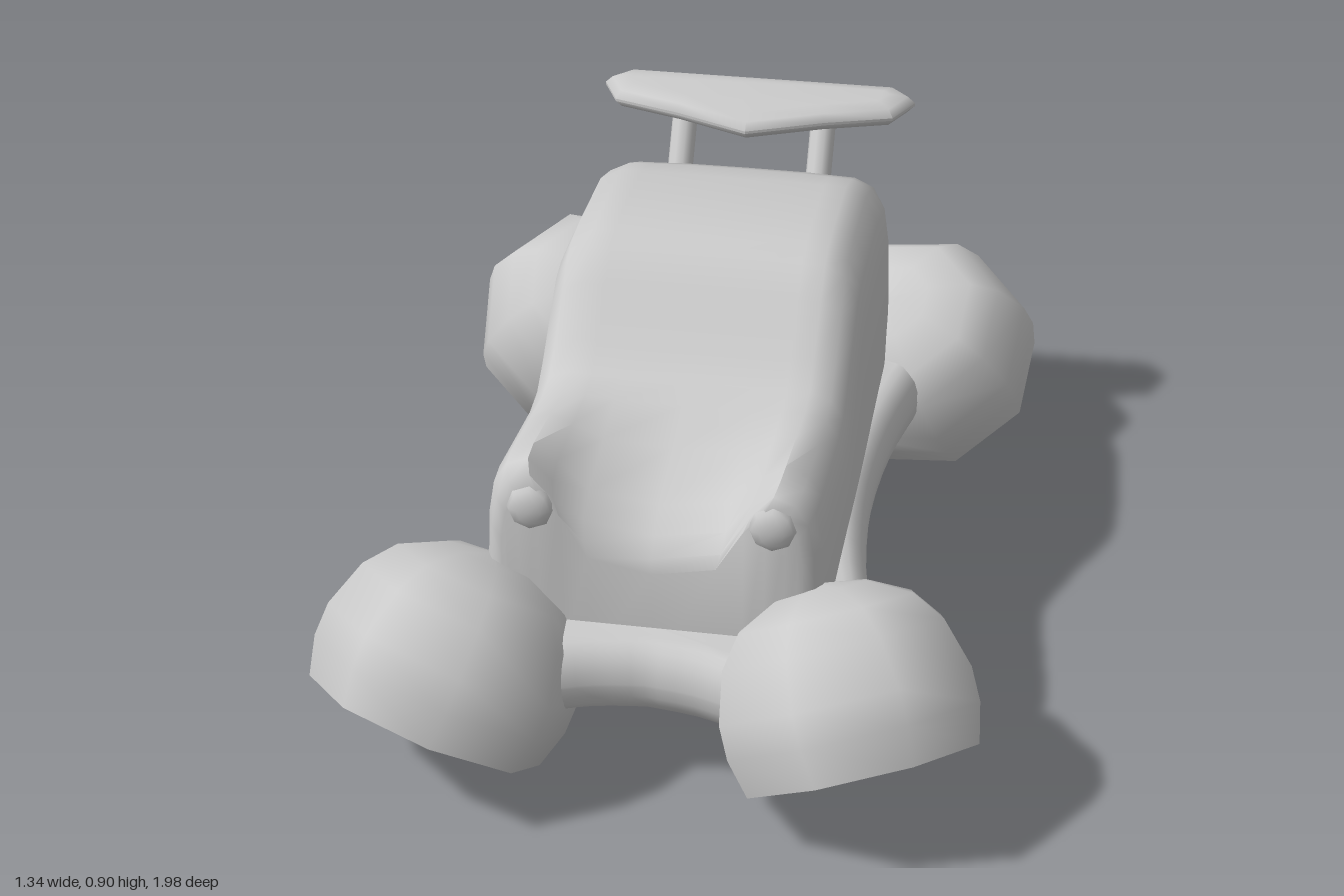
import * as THREE from 'three';
import { toCreasedNormals } from 'three/addons/utils/BufferGeometryUtils.js';

const V = (x, y, z) => new THREE.Vector3(x, y, z);
const material = new THREE.MeshStandardMaterial({ color: 0xcccccc });
const openMaterial = new THREE.MeshStandardMaterial({ color: 0xcccccc, side: THREE.DoubleSide });

function addMesh(parent, name, geometry, mat = material) {
  const mesh = new THREE.Mesh(geometry, mat);
  mesh.name = name;
  parent.add(mesh);
  return mesh;
}

// Horizontal slab with a rounded edge; outline is given in x and z
function slab(points, top, bottom, bevelSize, bevelSegments, crease) {
  const depth = 0.006;
  const bevelThickness = (top - bottom - depth) / 2;
  const geometry = new THREE.ExtrudeGeometry(new THREE.Shape(points), {
    depth, bevelEnabled: true, bevelThickness, bevelSize, bevelOffset: -bevelSize, bevelSegments,
  });
  geometry.rotateX(Math.PI / 2);
  geometry.translate(0, top - bevelThickness, 0);
  return toCreasedNormals(geometry, crease);
}

// Waisted base whose four corners reach into the thruster cups
function baseGeometry() {
  const quarter = [[0, 0.735], [0.1, 0.75], [0.2, 0.785], [0.32, 0.82], [0.42, 0.81],
    [0.475, 0.73], [0.465, 0.6], [0.43, 0.48], [0.385, 0.25], [0.368, 0]];
  const half = [...quarter, ...quarter.slice(0, -1).reverse().map(([x, z]) => [x, -z])];
  const loop = [...half, ...half.slice(0, -1).reverse().map(([x, z]) => [-x, z])];
  const curve = new THREE.SplineCurve(loop.map(([x, z]) => new THREE.Vector2(x, z)));
  return slab(curve.getPoints(108).slice(0, -1), 0.342, 0.176, 0.06, 5, 0.7);
}

// Body lofted from cross-sections: z, half width, shoulder height, centre height
const stations = [
  [0.65, 0.305, 0.64, 0.47],
  [0.64, 0.325, 0.67, 0.5],
  [0.61, 0.337, 0.69, 0.535],
  [0.55, 0.34, 0.688, 0.57],
  [0.4, 0.34, 0.665, 0.61],
  [0.28, 0.34, 0.647, 0.64],
  [0.21, 0.34, 0.655, 0.655],
  [0.15, 0.34, 0.7, 0.7],
  [0.06, 0.34, 0.785, 0.785],
  [0, 0.34, 0.84, 0.84],
  [-0.05, 0.34, 0.855, 0.857],
  [-0.15, 0.34, 0.858, 0.862],
  [-0.35, 0.34, 0.85, 0.852],
  [-0.46, 0.34, 0.815, 0.82],
  [-0.56, 0.335, 0.77, 0.775],
  [-0.6, 0.33, 0.7, 0.7],
  [-0.65, 0.31, 0.585, 0.585],
];

function bodyGeometry() {
  const floor = 0.25;
  const section = ([z, w, h, c]) => {
    const rise = h - floor;
    const side = [
      [w, floor], [w, floor + rise * 0.45], [w * 0.985, floor + rise * 0.7],
      [w * 0.95, h - rise * 0.14], [w * 0.87, h - rise * 0.04], [w * 0.74, h],
      [w * 0.6, h - (h - c) * 0.3], [w * 0.42, h - (h - c) * 0.85],
    ];
    const other = side.map(([x, y]) => [-x, y]).reverse();
    return [...side, [0, c], ...other].map(([x, y]) => [x, y, z]);
  };
  const rings = stations.map(section);
  // Vertical end walls drop from the first and last section to the floor
  const drop = (ring) => ring.map(([x, , z]) => [x, floor, z]);
  rings.unshift(drop(rings[0]));
  rings.push(drop(rings[rings.length - 1]));

  const n = rings[0].length;
  const index = [];
  for (let i = 0; i < rings.length - 1; i++) {
    for (let j = 0; j < n - 1; j++) {
      const a = i * n + j, b = a + 1, c = a + n, d = c + 1;
      index.push(a, c, b, b, c, d);
    }
  }
  const geometry = new THREE.BufferGeometry();
  geometry.setAttribute('position', new THREE.Float32BufferAttribute(rings.flat(2), 3));
  geometry.setIndex(index);
  geometry.computeVertexNormals();
  return toCreasedNormals(geometry, 1.0);
}

// Eight-sided hollow cup, tilted so its mouth points outward and down
function addThruster(parent, sx, sz) {
  const cup = new THREE.Group();
  cup.name = (sz > 0 ? 'front' : 'rear') + (sx > 0 ? 'Left' : 'Right') + 'Thruster';
  const lathe = (name, profile) => addMesh(cup, name,
    new THREE.LatheGeometry(profile.map(([r, y]) => new THREE.Vector2(r, y)), 8), openMaterial);
  lathe('cupShell', [[0.25, 0], [0.272, 0.08], [0.272, 0.15], [0.24, 0.25], [0.19, 0.312], [0.1, 0.355], [0, 0.37]]);
  lathe('cupRim', [[0.215, 0.008], [0.25, 0]]);
  lathe('cupInside', [[0, 0.3], [0.14, 0.28], [0.21, 0.2], [0.235, 0.1], [0.215, 0.008]]);
  const axis = V(-0.317 * sx, 0.816, -0.482 * sz).normalize();
  const slope = V(0.45 * sx, 0.577, 0.68 * sz).normalize();
  const across = axis.clone().cross(slope).normalize();
  slope.crossVectors(across, axis);
  cup.quaternion.setFromRotationMatrix(new THREE.Matrix4().makeBasis(across, axis, slope));
  cup.position.set(0.443 * sx, 0.146, 0.771 * sz);
  parent.add(cup);
}

export function createModel() {
  const model = new THREE.Group();
  model.name = 'hoverCar';

  addMesh(model, 'base', baseGeometry());
  addMesh(model, 'body', bodyGeometry());

  for (const sx of [1, -1]) {
    const side = sx > 0 ? 'left' : 'right';
    for (const sz of [1, -1]) addThruster(model, sx, sz);

    // Headlight
    const light = addMesh(model, side + 'Headlight', new THREE.SphereGeometry(0.049, 8, 6).rotateX(Math.PI / 2));
    light.scale.z = 0.5;
    light.position.set(0.24 * sx, 0.6, 0.645);

    // Spoiler strut
    const strutPath = new THREE.LineCurve3(V(0.16 * sx, 0.68, -0.55), V(0.16 * sx, 0.875, -0.685));
    addMesh(model, side + 'SpoilerStrut', new THREE.TubeGeometry(strutPath, 1, 0.029, 10));
  }

  // Spoiler blade, pointed towards the roof
  const edge = [[0, -0.53], [0.17, -0.605], [0.32, -0.655], [0.362, -0.745], [0.31, -0.802]];
  const outline = [...edge, ...edge.slice(1).reverse().map(([x, z]) => [-x, z])]
    .map(([x, z]) => new THREE.Vector2(x, z));
  addMesh(model, 'spoiler', slab(outline, 0.902, 0.85, 0.05, 2, 0.9));

  return model;
}
